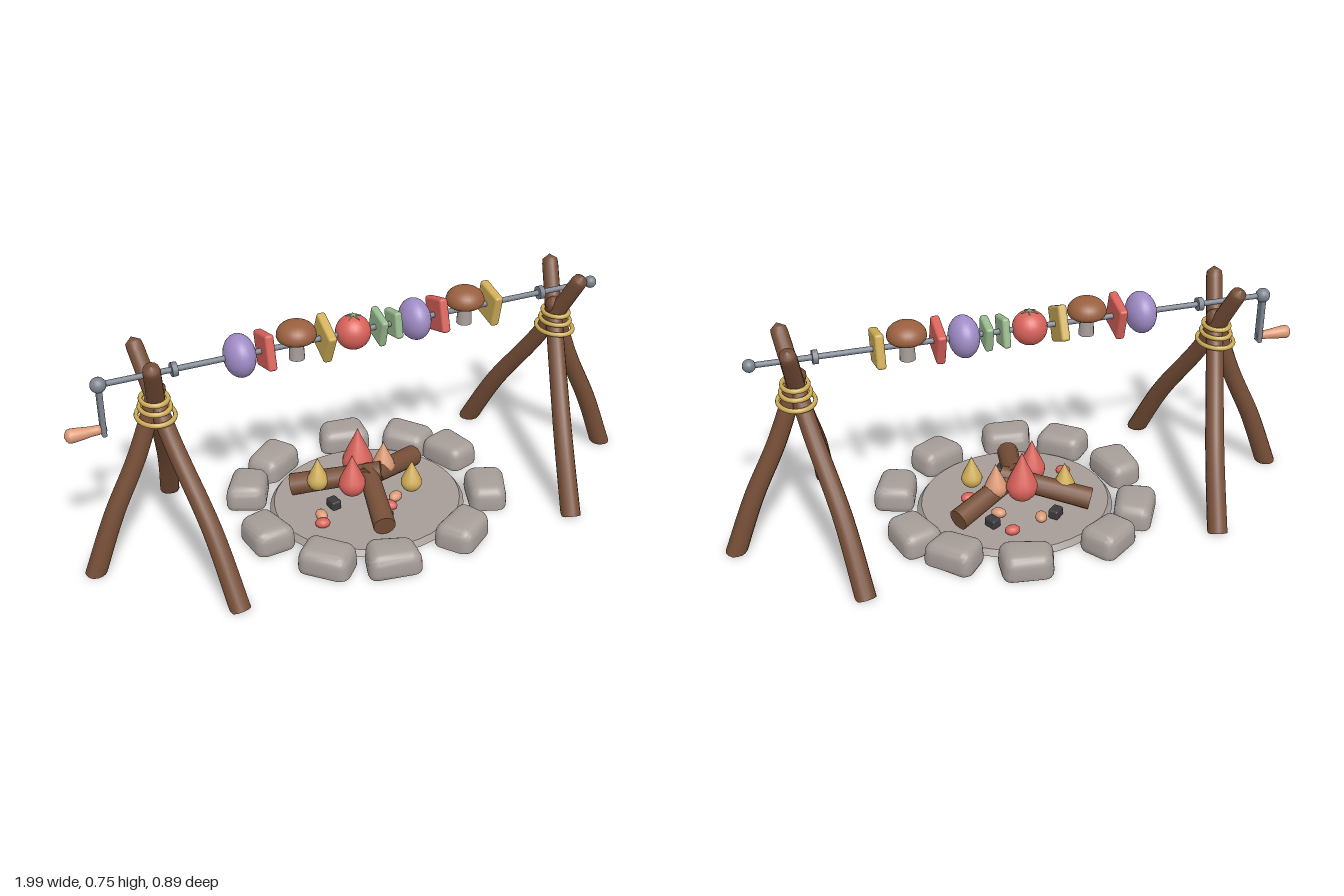
import * as THREE from 'three';
import { toCreasedNormals, mergeVertices } from 'three/addons/utils/BufferGeometryUtils.js';
import { RoundedBoxGeometry } from 'three/addons/geometries/RoundedBoxGeometry.js';

const paint = (name, color) => Object.assign(new THREE.MeshStandardMaterial({ color }), { name });
const V = (x, y, z) => new THREE.Vector3(x, y, z);

export function createModel() {
  const wood = paint('wood', 0x774f38), cap = paint('mushroom brown', 0x9a603f);
  const gold = paint('gold', 0xd0ae58), stone = paint('stone', 0xa69d98);
  const steel = paint('steel', 0x7c838e), red = paint('red', 0xd8625a);
  const purple = paint('purple', 0xa08cc6), green = paint('green', 0x98b98d);
  const peach = paint('peach', 0xdc9a76), coal = paint('coal', 0x3b393c);

  const model = new THREE.Group();
  model.name = 'campfireSpit';

  function add(parent, name, geo, mat, x = 0, y = 0, z = 0) {
    const m = new THREE.Mesh(geo, mat);
    m.name = name;
    m.position.set(x, y, z);
    parent.add(m);
    return m;
  }
  function group(name) {
    const g = new THREE.Group();
    g.name = name;
    model.add(g);
    return g;
  }
  // Smooth lathe through a few [radius, height] points
  function lathe(pts, sides = 20) {
    const curve = new THREE.SplineCurve(pts.map(p => new THREE.Vector2(...p)));
    const prof = curve.getPoints(16).map(p => new THREE.Vector2(Math.max(0, p.x), p.y));
    return new THREE.LatheGeometry(prof, sides);
  }
  // Cylinder between two points
  function bar(parent, name, a, b, r0, r1, mat, sides = 14) {
    const d = b.clone().sub(a);
    const m = add(parent, name, new THREE.CylinderGeometry(r1, r0, d.length(), sides), mat);
    m.position.copy(a).add(b).multiplyScalar(0.5);
    m.quaternion.setFromUnitVectors(V(0, 1, 0), d.normalize());
    return m;
  }
  // Tapered, slightly crooked pole: flat foot on the ground, rounded top
  function pole(points, r0, r1) {
    const curve = new THREE.CatmullRomCurve3(points), n = 56, sides = 14;
    const len = curve.getLength();
    const geo = new THREE.TubeGeometry(curve, n, 1, sides);
    const pos = geo.attributes.position, v = V(0, 0, 0);
    for (let i = 0; i <= n; i++) {
      const c = curve.getPointAt(i / n);
      const end = Math.min(1, (1 - i / n) * len / r1);
      const r = (r0 + (r1 - r0) * i / n) * (i === 0 ? 0 : Math.sqrt(1 - (1 - end) ** 2));
      for (let j = 0; j <= sides; j++) {
        const k = i * (sides + 1) + j;
        v.fromBufferAttribute(pos, k).sub(c).multiplyScalar(r).add(c);
        pos.setXYZ(k, v.x, Math.max(0, v.y), v.z);
      }
    }
    return toCreasedNormals(geo, 0.9);
  }

  // Two lashed tripods
  for (const s of [1, -1]) {
    const tripod = group(s > 0 ? 'leftTripod' : 'rightTripod');
    add(tripod, 'outerLeg', pole([V(s * 0.965, -0.02, 0), V(s * 0.88, 0.2, 0),
      V(s * 0.785, 0.4, 0), V(s * 0.695, 0.645, 0)], 0.034, 0.028), wood);
    for (const q of [1, -1]) {
      add(tripod, q > 0 ? 'frontLeg' : 'backLeg', pole([V(s * 0.597, -0.02, q * 0.375),
        V(s * 0.632, 0.22, q * 0.235), V(s * 0.69, 0.47, q * 0.062),
        V(s * 0.742, 0.755, q * -0.105)], 0.034, 0.027), wood);
    }
    [[0.53, 0.072], [0.56, 0.058], [0.588, 0.051]].forEach(([y, r]) => {
      const ring = add(tripod, 'ropeLashing', new THREE.TorusGeometry(r, 0.0085, 8, 32), gold, s * 0.715, y, 0);
      ring.rotation.x = Math.PI / 2;
      ring.scale.x = 0.82;
    });
  }

  // Spit rod, collars and crank
  const spit = group('spit');
  const Y = 0.672;
  bar(spit, 'rod', V(-0.88, Y, 0), V(0.85, Y, 0), 0.0095, 0.0095, steel);
  add(spit, 'rodTip', new THREE.SphereGeometry(0.021, 16, 12), steel, 0.848, Y, 0);
  add(spit, 'crankHub', new THREE.SphereGeometry(0.025, 16, 12), steel, -0.88, Y, 0);
  for (const s of [1, -1]) bar(spit, 'collar', V(s * 0.637, Y, 0), V(s * 0.655, Y, 0), 0.023, 0.023, steel);
  add(spit, 'crankArm', new RoundedBoxGeometry(0.016, 0.18, 0.034, 2, 0.005), steel, -0.88, 0.587, 0);
  bar(spit, 'crankPin', V(-0.91, 0.52, 0), V(-0.87, 0.52, 0), 0.01, 0.01, steel);
  const handle = add(spit, 'crankHandle', lathe([[0, 0], [0.014, 0.001], [0.016, 0.03], [0.021, 0.07], [0.021, 0.1], [0, 0.112]]),
    peach, -0.888, 0.52, 0);
  handle.rotation.z = Math.PI / 2;

  // Skewered food
  const food = group('skeweredFood');
  for (const x of [-0.435, 0.17]) {
    add(food, 'onion', new THREE.SphereGeometry(0.07, 24, 18), purple, x, Y, 0).scale.x = 0.72;
  }
  // [name, material, x, side, thickness, twist]
  [['redPepper', red, -0.35, 0.116, 0.03, -0.25], ['yellowPepper', gold, -0.15, 0.118, 0.03, 0.45],
   ['greenSlice', green, 0.04, 0.098, 0.025, 0.25], ['greenSlice', green, 0.095, 0.088, 0.027, -0.2],
   ['redPepper', red, 0.255, 0.114, 0.03, -0.3], ['yellowPepper', gold, 0.45, 0.114, 0.03, 0.21],
  ].forEach(([name, mat, x, side, t, twist]) => {
    add(food, name, new RoundedBoxGeometry(t, side, side, 3, 0.009), mat, x, Y, 0).rotation.x = twist;
  });
  for (const x of [-0.245, 0.355]) {
    add(food, 'mushroomCap', lathe([[0, 0], [0.045, -0.002], [0.064, 0.014], [0.058, 0.041], [0.034, 0.06], [0, 0.066]], 24),
      cap, x, 0.684, 0);
    bar(food, 'mushroomStem', V(x, 0.62, 0), V(x, 0.69, 0), 0.026, 0.022, stone);
  }
  add(food, 'tomato', new THREE.SphereGeometry(0.058, 24, 18), red, -0.05, Y, 0);
  // Star-shaped calyx on the tomato
  for (let i = 0; i < 5; i++) {
    const a = i * Math.PI * 0.4;
    const leaf = add(food, 'tomatoLeaf', new THREE.ConeGeometry(0.006, 0.034, 5), green,
      -0.05 + Math.cos(a) * 0.016, 0.728, Math.sin(a) * 0.016);
    leaf.rotation.set(0, -a, -Math.PI / 2 - 0.25);
  }

  // Ash bed and ring of stones
  const pit = group('firePit');
  add(pit, 'ashBed', new THREE.CylinderGeometry(0.325, 0.34, 0.02, 40), stone, 0, 0.01, 0).scale.z = 0.93;
  [[0.39, -0.125], [0.285, -0.265], [0.075, -0.377], [-0.225, -0.325], [-0.365, -0.195],
   [-0.402, 0.07], [-0.272, 0.285], [-0.08, 0.37], [0.2, 0.328], [0.385, 0.15],
  ].forEach(([x, z], i) => {
    let g = new RoundedBoxGeometry(0.178, 0.104, 0.132, 3, 0.036);
    g.deleteAttribute('normal');
    g.deleteAttribute('uv');
    g = mergeVertices(g, 1e-4);
    const p = g.attributes.position;
    // Uneven taper gives each stone its own outline
    for (let k = 0; k < p.count; k++) {
      const px = p.getX(k), py = p.getY(k), pz = p.getZ(k);
      p.setXYZ(k, px * (0.97 + 1.3 * Math.sin(i * 2.1) * pz - 0.8 * py),
        Math.max(0, py + 0.031 + 0.06 * Math.sin(i * 1.7) * px),
        pz * (1 + 1.1 * Math.cos(i * 1.3) * px - 0.6 * py));
    }
    const m = add(pit, 'ringStone', toCreasedNormals(g, 0.55), stone, x, 0, z);
    m.rotation.y = Math.atan2(x, z);
  });

  // Logs leaning together
  const fire = group('fire');
  [[V(-0.045, 0.06, 0.235), V(0.01, 0.115, -0.02)], [V(-0.23, 0.055, -0.13), V(0.05, 0.118, 0.01)],
   [V(0.235, 0.055, -0.12), V(-0.02, 0.112, 0.02)],
  ].forEach(([a, b]) => bar(fire, 'log', a, b, 0.038, 0.034, wood, 12));

  // Flames: [material, x, base, z, radius, height]
  [[red, 0, 0.065, -0.08, 0.054, 0.188], [red, -0.07, 0.065, 0.03, 0.047, 0.16],
   [peach, 0.08, 0.065, -0.04, 0.04, 0.135], [gold, -0.155, 0.05, -0.07, 0.038, 0.128],
   [gold, 0.135, 0.05, 0.07, 0.037, 0.122],
  ].forEach(([mat, x, y, z, r, h]) => add(fire, 'flame', lathe([[0, 0], [r * 0.68, h * 0.09], [r, h * 0.29],
    [r * 0.74, h * 0.52], [r * 0.32, h * 0.78], [0, h]], 14), mat, x, y, z));

  // Embers and charcoal scattered on the ash
  [[red, 0.07, -0.2], [peach, -0.045, -0.155], [peach, 0.085, -0.09], [coal, -0.1, -0.145],
   [coal, 0.12, -0.135], [red, 0.16, 0.03], [peach, -0.195, 0.055], [red, -0.21, 0.1],
   [coal, 0.0, 0.165], [red, 0.04, 0.1], [peach, 0.08, 0.06], [coal, -0.13, 0.01],
  ].forEach(([mat, x, z], i) => {
    const geo = mat === coal ? new RoundedBoxGeometry(0.046, 0.034, 0.036, 2, 0.007)
      : new THREE.SphereGeometry(0.024, 12, 8).scale(1.1, 0.7, 0.85);
    add(fire, mat === coal ? 'charcoal' : 'ember', geo, mat, x, 0.035, z).rotation.y = i * 1.3;
  });

  return model;
}
